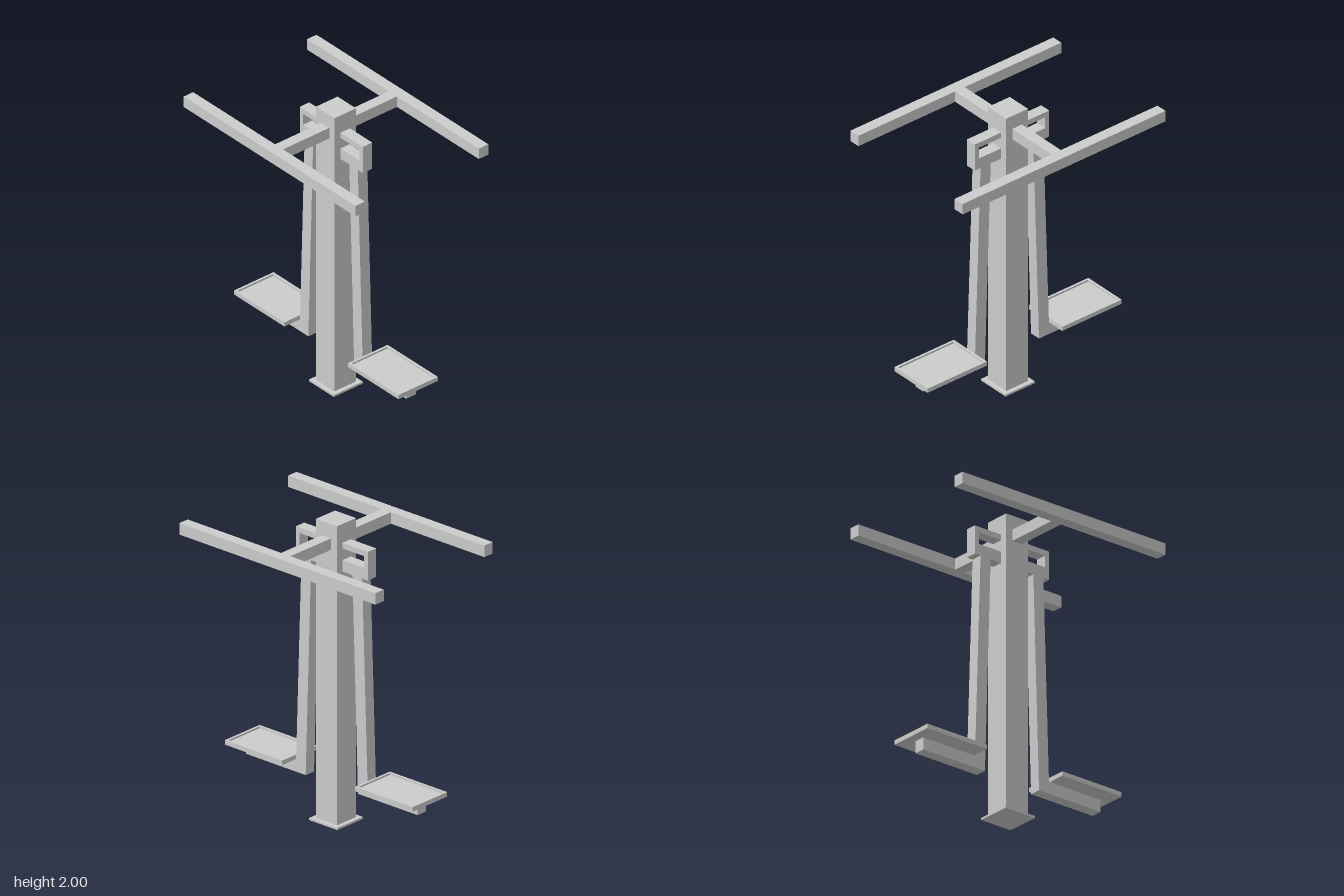
import * as THREE from 'three';

const material = new THREE.MeshStandardMaterial({ color: 0xcccccc, flatShading: true });

function add(parent, name, geometry) {
  const mesh = new THREE.Mesh(geometry, material);
  mesh.name = name;
  parent.add(mesh);
  return mesh;
}

// Box given by its lower and upper corners
function box(parent, name, [x0, y0, z0], [x1, y1, z1]) {
  const mesh = add(parent, name, new THREE.BoxGeometry(x1 - x0, y1 - y0, z1 - z0));
  mesh.position.set((x0 + x1) / 2, (y0 + y1) / 2, (z0 + z1) / 2);
  return mesh;
}

// Front outline extruded to the tube width, centred on z
function plate(parent, name, points) {
  const shape = new THREE.Shape(points.map(([x, y]) => new THREE.Vector2(x, y)));
  const geometry = new THREE.ExtrudeGeometry(shape, { depth: TUBE, bevelEnabled: false });
  return add(parent, name, geometry.translate(0, 0, -TUBE / 2));
}

const TUBE = 0.076;
const POST = 0.0865; // half width of the post

// One swinging side: hanger bracket, leg with foot arm, and foot tray
function createSwing() {
  const swing = new THREE.Group();

  // C-shaped bracket around a slot beside the post
  plate(swing, 'hangerBracket', [
    [POST, 1.685], [0.296, 1.685], [0.296, 1.875], [POST, 1.875],
    [POST, 1.838], [0.264, 1.838], [0.264, 1.76], [POST, 1.76],
  ]);

  // Slanting leg that turns outward into the foot arm
  plate(swing, 'legAndFootArm', [
    [0.17, 1.685], [0.215, 0.245], [0.705, 0.245],
    [0.705, 0.325], [0.294, 0.325], [0.25, 1.685],
  ]);

  // Shallow tray: floor plus raised rim
  const [x0, x1, z] = [0.3, 0.772, 0.158];
  box(swing, 'footTrayFloor', [x0, 0.325, -z], [x1, 0.343, z]);
  const b = 0.016;
  const rim = new THREE.Shape([[x0, -z], [x1, -z], [x1, z], [x0, z]]
    .map((p) => new THREE.Vector2(...p)));
  rim.holes.push(new THREE.Path([[x0 + b, -z + b], [x0 + b, z - b], [x1 - b, z - b], [x1 - b, -z + b]]
    .map((p) => new THREE.Vector2(...p))));
  const rimGeometry = new THREE.ExtrudeGeometry(rim, { depth: 0.012, bevelEnabled: false });
  add(swing, 'footTrayRim', rimGeometry.rotateX(-Math.PI / 2).translate(0, 0.343, 0));
  return swing;
}

export function createModel() {
  const model = new THREE.Group();
  model.name = 'doubleAirWalker';

  // The whole machine stands slightly turned
  const machine = new THREE.Group();
  machine.name = 'machine';
  machine.rotation.y = 0.03;
  model.add(machine);

  // Post on its base plate
  box(machine, 'basePlate', [-0.116, 0, -0.116], [0.116, 0.014, 0.116]);
  box(machine, 'post', [-POST, 0.014, -POST], [POST, 2, POST]);

  // Front and back handlebars on short arms, left and right swings
  for (const [i, side] of ['front', 'back'].entries()) {
    const handle = new THREE.Group();
    handle.name = side + 'Handle';
    handle.rotation.y = i * Math.PI;
    box(handle, 'handleArm', [-TUBE / 2, 1.83, POST], [TUBE / 2, 1.906, 0.457]);
    box(handle, 'handlebar', [-0.807, 1.83, 0.457], [0.807, 1.906, 0.533]);
    machine.add(handle);

    const swing = createSwing();
    swing.name = i ? 'rightSwing' : 'leftSwing';
    swing.rotation.y = i * Math.PI;
    machine.add(swing);
  }
  return model;
}
